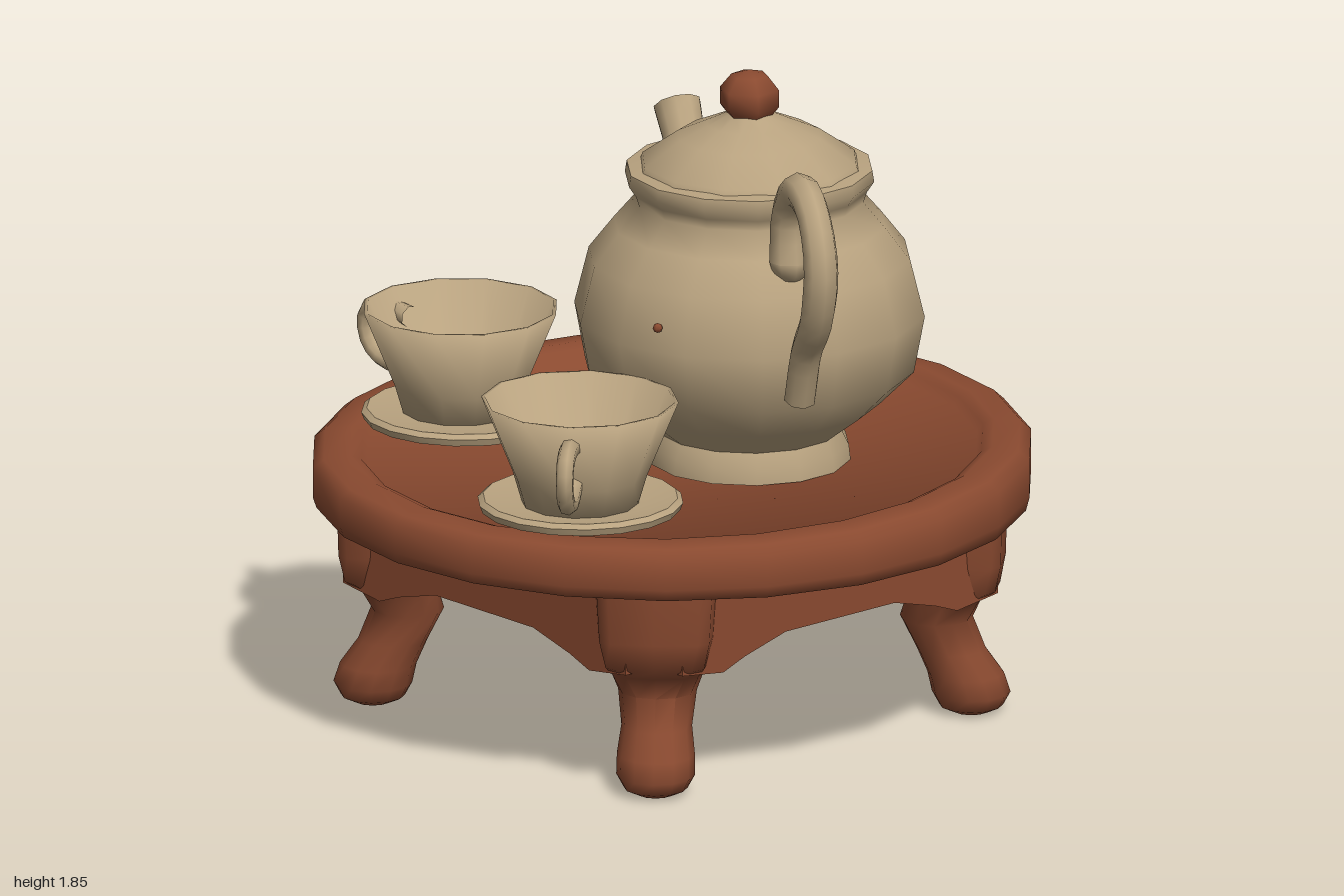
import * as THREE from 'three';
import { toCreasedNormals } from 'three/addons/utils/BufferGeometryUtils.js';

const wood = new THREE.MeshStandardMaterial({ color: 0x8a4a30 });
wood.name = 'redBrownWood';
const clay = new THREE.MeshStandardMaterial({ color: 0xb8a27f });
clay.name = 'tanCeramic';

const V = (x, y, z = 0) => new THREE.Vector3(x, y, z);

function add(parent, name, geometry, material, x = 0, y = 0, z = 0) {
  const mesh = new THREE.Mesh(geometry, material);
  mesh.name = name;
  mesh.position.set(x, y, z);
  parent.add(mesh);
  return mesh;
}

// turned shape; profile runs up the outside, then down the inside
function turned(profile, sides, crease = 0.8) {
  const points = profile.map(([r, y]) => new THREE.Vector2(r, y));
  return toCreasedNormals(new THREE.LatheGeometry(points, sides), crease);
}

// tube whose radius follows a list of values along the path
function taperedTube(path, radii, steps, sides) {
  const curve = new THREE.CatmullRomCurve3(path);
  const geometry = new THREE.TubeGeometry(curve, steps, 1, sides);
  const pos = geometry.attributes.position;
  const v = new THREE.Vector3();
  for (let i = 0; i <= steps; i++) {
    const centre = curve.getPointAt(i / steps);
    const t = (i / steps) * (radii.length - 1);
    const k = Math.min(Math.floor(t), radii.length - 2);
    const r = THREE.MathUtils.lerp(radii[k], radii[k + 1], t - k);
    for (let j = 0; j <= sides; j++) {
      const n = i * (sides + 1) + j;
      v.fromBufferAttribute(pos, n).sub(centre).multiplyScalar(r).add(centre);
      pos.setXYZ(n, v.x, v.y, v.z);
    }
  }
  return toCreasedNormals(geometry, 1.1);
}

// flat disc closing the far end of a tube
function endCap(path, radius, sides) {
  const curve = new THREE.CatmullRomCurve3(path);
  const geometry = new THREE.CircleGeometry(radius, sides);
  geometry.applyQuaternion(new THREE.Quaternion().setFromUnitVectors(V(0, 0, 1), curve.getTangentAt(1)));
  const end = path[path.length - 1];
  return geometry.translate(end.x, end.y, end.z);
}

// upright loft; rows of [height, centre x, half depth, half width, roundness], top to bottom
function uprightLoft(rows, sides) {
  const last = rows.length - 1;
  const geometry = new THREE.CylinderGeometry(1, 1, 1, sides, last);
  const pos = geometry.attributes.position;
  const bend = (value, power) => Math.sign(value) * Math.pow(Math.abs(value), power);
  for (let i = 0; i < pos.count; i++) {
    const [y, centre, depth, width, round] = rows[Math.round((0.5 - pos.getY(i)) * last)];
    pos.setXYZ(i, centre + depth * bend(pos.getX(i), round), y, width * bend(pos.getZ(i), round));
  }
  return toCreasedNormals(geometry, 1.0);
}

function buildTable() {
  const table = new THREE.Group();
  table.name = 'table';

  // round tray with a raised rim, rising slightly to the back
  const tray = turned([
    [0, 0.605], [0.99, 0.605], [1.0, 0.64], [1.0, 0.735], [0.97, 0.76],
    [0.895, 0.768], [0.865, 0.755], [0.85, 0.735], [0, 0.735],
  ], 22, 1.5);
  const pos = tray.attributes.position;
  for (let i = 0; i < pos.count; i++) {
    const y = pos.getY(i);
    pos.setY(i, y - pos.getZ(i) * 0.03 * (y - 0.56) / 0.2);
    pos.setZ(i, pos.getZ(i) * 0.985);
  }
  add(table, 'tray', tray, wood);

  // arched apron board
  const arch = new THREE.Shape([
    [-0.58, 0.61], [-0.58, 0.36], [-0.43, 0.34], [-0.35, 0.37], [-0.2, 0.41],
    [0.2, 0.41], [0.35, 0.37], [0.43, 0.34], [0.58, 0.36], [0.58, 0.61],
  ].map(([x, y]) => new THREE.Vector2(x, y)));
  const apron = new THREE.ExtrudeGeometry(arch, { depth: 0.11, bevelEnabled: false });

  // squarish corner block flowing into a curved leg with a rounded foot
  const leg = uprightLoft([
    [0.63, 0.79, 0.13, 0.17, 0.4], [0.45, 0.785, 0.13, 0.16, 0.4], [0.37, 0.775, 0.125, 0.145, 0.5],
    [0.335, 0.75, 0.105, 0.13, 0.7], [0.27, 0.725, 0.1, 0.108, 1], [0.18, 0.765, 0.095, 0.097, 1],
    [0.11, 0.805, 0.105, 0.107, 1], [0.055, 0.82, 0.108, 0.108, 1], [0.018, 0.82, 0.088, 0.088, 1], [0, 0.82, 0.05, 0.05, 1],
  ], 12);

  const frame = new THREE.Group();
  frame.name = 'legFrame';
  frame.rotation.y = 0.04;
  for (let k = 0; k < 4; k++) {
    const side = new THREE.Group();
    side.name = 'frameSide' + (k + 1);
    side.rotation.y = k * Math.PI / 2;
    add(side, 'apron', apron, wood, 0, 0, 0.58);
    add(side, 'leg', leg, wood).rotation.y = Math.PI / 4;
    frame.add(side);
  }
  table.add(frame);
  return table;
}

// built facing +z with the spout on -x, then turned
function buildTeapot() {
  const pot = new THREE.Group();
  pot.name = 'teapot';
  pot.position.set(0.2, 0, -0.11);
  pot.rotation.y = -0.39;

  add(pot, 'body', turned([
    [0, 0.74], [0.28, 0.74], [0.275, 0.785], [0.255, 0.825], [0.36, 0.905], [0.455, 1.0], [0.485, 1.16],
    [0.445, 1.32], [0.375, 1.41], [0.315, 1.48], [0.325, 1.51], [0.345, 1.54], [0.34, 1.572], [0.29, 1.578],
  ], 14, 1.2), clay);
  add(pot, 'lid', turned([
    [0.31, 1.565], [0.3, 1.59], [0.2, 1.66], [0.12, 1.695], [0.055, 1.725], [0.04, 1.745], [0, 1.745],
  ], 12), clay);
  add(pot, 'lidKnob', new THREE.SphereGeometry(0.087, 6, 5), wood, 0, 1.768, 0).scale.y = 0.9;

  // wide-based spout with a slightly flared mouth
  const spoutPath = [V(-0.3, 1.06), V(-0.43, 1.12), V(-0.5, 1.25), V(-0.54, 1.36), V(-0.59, 1.455), V(-0.64, 1.515), V(-0.67, 1.55)];
  add(pot, 'spout', taperedTube(spoutPath, [0.17, 0.16, 0.135, 0.105, 0.075, 0.06, 0.067], 14, 10), clay);
  add(pot, 'spoutTip', endCap(spoutPath, 0.067, 10), clay);

  const handlePath = [
    V(0.38, 1.41), V(0.375, 1.54), V(0.46, 1.635), V(0.58, 1.61),
    V(0.66, 1.48), V(0.62, 1.31), V(0.53, 1.2), V(0.465, 1.04),
  ];
  add(pot, 'handle', taperedTube(handlePath, [0.06, 0.052, 0.047, 0.05, 0.045, 0.045], 20, 8), clay);
  // rounded upper end of the handle
  add(pot, 'handleEnd', new THREE.SphereGeometry(0.06, 8, 6), clay, 0.38, 1.41, 0);
  return pot;
}

// cup on a saucer, handle pointing along +x before turning
function buildCup(name, x, z, turn) {
  const set = new THREE.Group();
  set.name = name;
  set.position.set(x, 0, z);
  set.rotation.y = turn;
  add(set, 'saucer', turned([
    [0, 0.742], [0.2, 0.742], [0.275, 0.76], [0.283, 0.78], [0.268, 0.792], [0.18, 0.78], [0, 0.78],
  ], 18), clay, -0.015);
  // thin-walled and fully smooth
  add(set, 'cup', turned([
    [0, 0.775], [0.16, 0.775], [0.185, 0.86], [0.272, 1.072], [0.262, 1.072], [0.145, 0.795], [0, 0.795],
  ], 12, Math.PI), clay);
  const handlePath = [V(0.2, 1.0), V(0.31, 1.01), V(0.365, 0.985), V(0.37, 0.92), V(0.33, 0.87), V(0.265, 0.855), V(0.19, 0.88)];
  add(set, 'cupHandle', taperedTube(handlePath, [0.03, 0.026, 0.024, 0.026, 0.03], 14, 7), clay);
  return set;
}

export function createModel() {
  const model = new THREE.Group();
  model.name = 'teaTable';
  model.add(buildTable(), buildTeapot());
  model.add(buildCup('rightCup', -0.54, 0.305, Math.PI + 0.08));
  model.add(buildCup('leftCup', 0.33, 0.6, -0.8));
  // small fleck on the front of the pot
  add(model, 'fleck', new THREE.SphereGeometry(0.014, 6, 4), wood, 0.35, 1.23, 0.34);
  return model;
}
